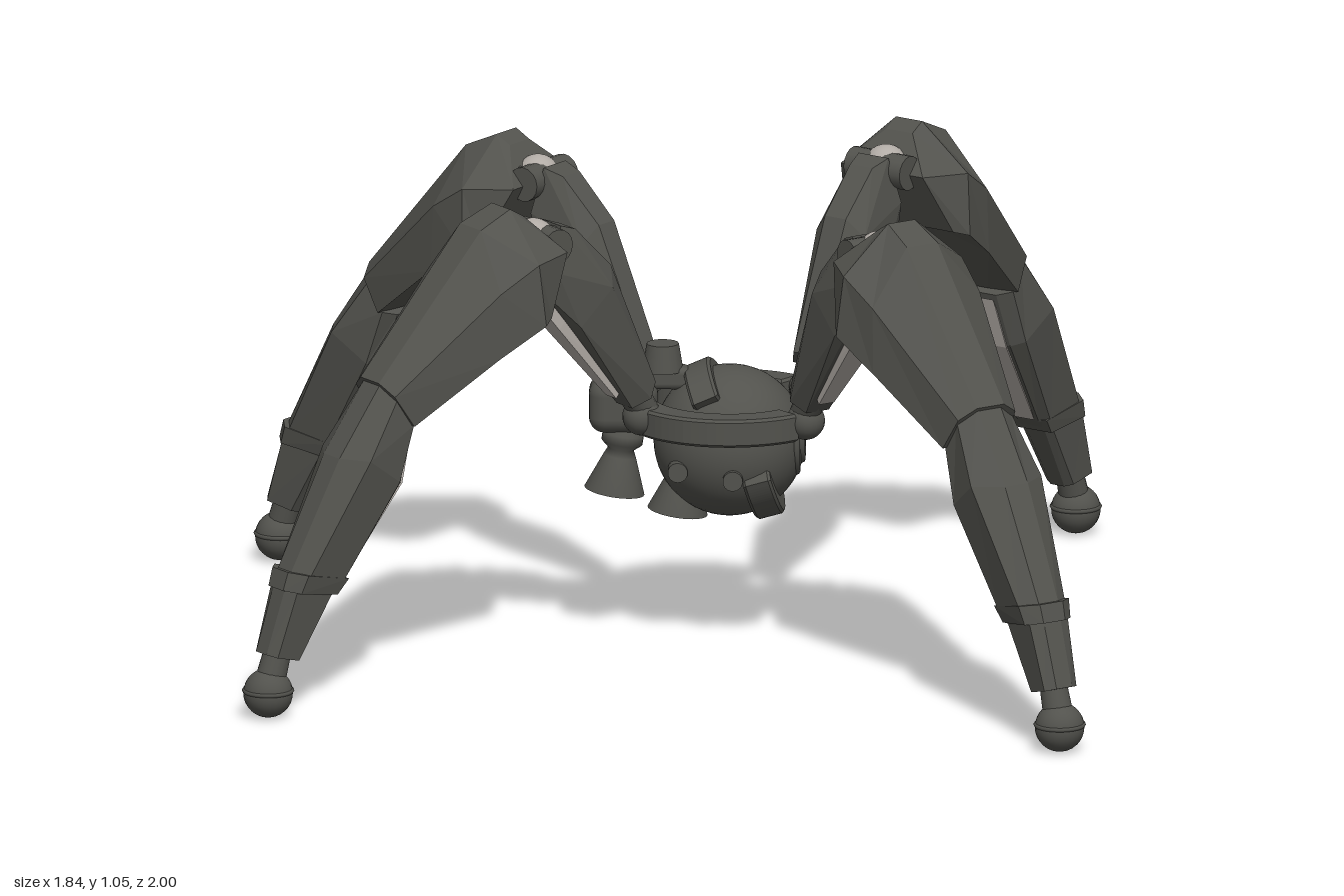
import * as THREE from 'three';
import { ConvexGeometry } from 'three/addons/geometries/ConvexGeometry.js';
import { RoundedBoxGeometry } from 'three/addons/geometries/RoundedBoxGeometry.js';

const darkMetal = new THREE.MeshStandardMaterial({ name: 'dark metal', color: 0x52524d });
const paleMetal = new THREE.MeshStandardMaterial({ name: 'pale metal', color: 0xb2aca6 });

function add(parent, name, geometry, material, x = 0, y = 0, z = 0) {
  const mesh = new THREE.Mesh(geometry, material);
  mesh.name = name;
  mesh.position.set(x, y, z);
  parent.add(mesh);
  return mesh;
}

// Faceted solid from half points [x, y, z], mirrored across z = 0
function hull(points) {
  return new ConvexGeometry(points.flatMap(([x, y, z]) =>
    [new THREE.Vector3(x, y, z), new THREE.Vector3(x, y, -z)]));
}

// Faceted shell through half sections (outer ridge to underside), mirrored across z = 0
function loft(sections) {
  const n = sections[0].length, loop = 2 * n, pos = [], index = [];
  for (const s of sections) {
    for (const p of s) pos.push(...p);
    for (const [x, y, z] of [...s].reverse()) pos.push(x, y, -z);
  }
  const quad = (a, b, c, d) => index.push(a, b, c, a, c, d);
  for (let k = 0; k < sections.length - 1; k++)
    for (let i = 0; i < loop; i++) {
      const j = (i + 1) % loop, a = k * loop, b = a + loop;
      quad(a + i, a + j, b + j, b + i);
    }
  const end = (sections.length - 1) * loop;
  for (let i = 0; i < n - 1; i++) {
    quad(loop - 1 - i, loop - 2 - i, i + 1, i);
    quad(end + i, end + i + 1, end + loop - 2 - i, end + loop - 1 - i);
  }
  const g = new THREE.BufferGeometry();
  g.setAttribute('position', new THREE.Float32BufferAttribute(pos, 3));
  g.setIndex(index);
  const flat = g.toNonIndexed();
  flat.computeVertexNormals();
  return flat;
}

// Flat curved bar between two radii
function arcBar(inner, outer, from, to, depth) {
  const s = new THREE.Shape();
  s.absarc(0, 0, outer, from, to, false);
  s.absarc(0, 0, inner, to, from, true);
  return new THREE.ExtrudeGeometry(s, {
    depth, curveSegments: 28, bevelEnabled: true,
    bevelSize: 0.006, bevelThickness: 0.006, bevelSegments: 1,
  });
}

// Cylinder between two points of the leg's plane
function rod(parent, name, a, b, r0, r1, material) {
  const d = new THREE.Vector3(b[0] - a[0], b[1] - a[1], 0);
  const m = add(parent, name, new THREE.CylinderGeometry(r1, r0, d.length(), 16), material,
    (a[0] + b[0]) / 2, (a[1] + b[1]) / 2, 0);
  m.quaternion.setFromUnitVectors(new THREE.Vector3(0, 1, 0), d.normalize());
}

// One leg reaching along +x, with the knee at x = 0
function makeLeg() {
  const leg = new THREE.Group();

  // Hip joint and upper arm
  add(leg, 'hipBall', new THREE.SphereGeometry(0.042, 20, 14), darkMetal, -0.29, 0.53, 0);
  rod(leg, 'hipNeck', [-0.31, 0.52], [-0.24, 0.63], 0.032, 0.036, darkMetal);
  add(leg, 'upperArm', hull([
    [-0.31, 0.61, 0.025], [-0.285, 0.58, 0.045], [-0.245, 0.56, 0.03],
    [-0.19, 0.89, 0.028], [-0.17, 0.85, 0.065], [-0.09, 0.77, 0.06],
    [-0.095, 0.985, 0.03], [-0.05, 1.0, 0.04], [-0.03, 0.9, 0.06], [-0.02, 0.84, 0.045],
  ]), darkMetal);
  add(leg, 'upperArmPanel', hull([
    [-0.21, 0.585, 0.02], [-0.235, 0.62, 0.02], [-0.05, 0.765, 0.035],
    [-0.1, 0.82, 0.03], [0.0, 0.825, 0.035],
  ]), paleMetal);

  // Knee joint
  add(leg, 'kneeBall', new THREE.SphereGeometry(0.05, 20, 14), paleMetal, -0.005, 0.965, 0);
  const kneeRing = add(leg, 'kneeRing', new THREE.TorusGeometry(0.048, 0.011, 8, 24), darkMetal, -0.005, 0.985, 0);
  kneeRing.rotation.x = Math.PI / 2;
  const pin = add(leg, 'kneePin', new THREE.CylinderGeometry(0.038, 0.038, 0.15, 16), darkMetal, -0.02, 0.965, 0);
  pin.rotation.x = Math.PI / 2;

  // Broad roof-shaped thigh armour
  add(leg, 'thighArmour', loft([
    [[0.045, 1.035, 0.035], [-0.02, 0.96, 0.11], [0.045, 0.83, 0.145], [0.04, 0.90, 0.01]],
    [[0.08, 1.055, 0.035], [0.085, 0.955, 0.155], [0.075, 0.82, 0.168], [0.07, 0.88, 0.01]],
    [[0.16, 1.02, 0.04], [0.175, 0.9, 0.14], [0.18, 0.755, 0.142], [0.18, 0.79, 0.01]],
    [[0.425, 0.715, 0.035], [0.41, 0.69, 0.075], [0.365, 0.62, 0.085], [0.355, 0.62, 0.01]],
  ]), darkMetal);

  // Shin with its pale inner panel
  add(leg, 'shin', loft([
    [[0.415, 0.715, 0.03], [0.395, 0.69, 0.07], [0.36, 0.62, 0.075], [0.345, 0.61, 0.04]],
    [[0.525, 0.56, 0.03], [0.485, 0.56, 0.092], [0.4, 0.5, 0.08], [0.38, 0.49, 0.052]],
    [[0.65, 0.32, 0.025], [0.625, 0.31, 0.06], [0.53, 0.29, 0.052], [0.515, 0.29, 0.03]],
    [[0.665, 0.28, 0.022], [0.65, 0.28, 0.05], [0.555, 0.26, 0.042], [0.545, 0.26, 0.025]],
    [[0.71, 0.145, 0.02], [0.695, 0.14, 0.042], [0.635, 0.125, 0.036], [0.625, 0.12, 0.018]],
  ]), darkMetal);
  add(leg, 'shinPanel', hull([
    [0.34, 0.6, 0.036], [0.372, 0.488, 0.048], [0.505, 0.295, 0.026],
  ]), paleMetal);
  add(leg, 'shinCollar', hull([
    [0.66, 0.325, 0.03], [0.63, 0.32, 0.066], [0.515, 0.295, 0.052],
    [0.672, 0.285, 0.028], [0.645, 0.28, 0.06], [0.54, 0.262, 0.046],
  ]), darkMetal);

  // Ankle and ball foot
  rod(leg, 'ankle', [0.69, 0.07], [0.665, 0.15], 0.034, 0.03, darkMetal);
  add(leg, 'foot', new THREE.SphereGeometry(0.054, 24, 16), darkMetal, 0.692, 0.054, 0);
  const band = add(leg, 'footBand', new THREE.TorusGeometry(0.052, 0.005, 6, 28), darkMetal, 0.692, 0.06, 0);
  band.rotation.x = Math.PI / 2;
  return leg;
}

export function createModel() {
  const model = new THREE.Group();

  // Round body with an eye facing +x
  const body = new THREE.Group();
  body.name = 'body';
  body.position.set(0.125, 0.45, 0);
  model.add(body);
  add(body, 'bodySphere', new THREE.SphereGeometry(0.165, 40, 28), darkMetal);
  for (const [name, r, x] of [['outerEyeRing', 0.078, 0.146], ['innerEyeRing', 0.052, 0.157]]) {
    add(body, name, new THREE.TorusGeometry(r, 0.008, 8, 32), darkMetal, x, 0.01, 0).rotation.y = Math.PI / 2;
  }

  // Hip collar, open towards the eye
  const open = 0.87;
  add(body, 'hipCollar', arcBar(0.17, 0.224, open, 2 * Math.PI - open, 0.05), darkMetal, 0, 0.095, 0)
    .rotation.x = Math.PI / 2;

  // Curved guards above and below
  for (const [name, tilt, shift, half] of [['lowerGuard', 0.27, 0.045, 1.15], ['upperGuard', 3.55, 0, 0.75]]) {
    const guard = new THREE.Group();
    guard.rotation.z = tilt;
    body.add(guard);
    add(guard, name, arcBar(0.145, 0.178, -Math.PI / 2 - half, -Math.PI / 2 + half, 0.05), darkMetal, shift - 0.025, 0, 0)
      .rotation.y = Math.PI / 2;
  }

  // Side studs
  for (const side of [-1, 1])
    for (const [x, y, z] of [[-0.11, -0.04, 0.12], [0.01, -0.05, 0.155]]) {
      add(body, 'sideStud', new THREE.CylinderGeometry(0.022, 0.022, 0.04, 14), darkMetal, x, y, side * z)
        .rotation.x = Math.PI / 2;
    }

  // Rear pod and spine
  add(model, 'rearPod', new RoundedBoxGeometry(0.15, 0.12, 0.11, 3, 0.035), darkMetal, -0.105, 0.53, 0);
  add(model, 'spine', new RoundedBoxGeometry(0.2, 0.05, 0.055, 2, 0.015), darkMetal, -0.06, 0.59, 0);
  add(model, 'spineKnob', new THREE.CylinderGeometry(0.035, 0.045, 0.06, 16), darkMetal, -0.02, 0.635, 0);

  // Thruster nozzles
  const nozzle = [[0, 0.13], [0.03, 0.13], [0.045, 0.11], [0.045, 0.09], [0.028, 0.075], [0.035, 0.06],
    [0.066, -0.02], [0.058, -0.02], [0.025, 0.04], [0, 0.04]].map(([x, y]) => new THREE.Vector2(x, y)).reverse();
  for (const [name, x, y, tilt] of [['rearNozzle', -0.122, 0.355, -0.15], ['innerNozzle', 0.015, 0.31, -0.15]]) {
    add(model, name, new THREE.LatheGeometry(nozzle, 24), darkMetal, x, y, 0).rotation.z = tilt;
  }

  // Four legs, placed by knee position and heading
  for (const [label, x, z, dx, dz] of [['left', 0.46, 0.38, 0.576, 0.817], ['right', -0.3, 0.28, -0.814, 0.58]])
    for (const side of [1, -1]) {
      const leg = makeLeg();
      leg.name = label + (side > 0 ? 'FrontLeg' : 'BackLeg');
      leg.position.set(x, 0, side * z);
      leg.rotation.y = Math.atan2(-side * dz, dx);
      model.add(leg);
    }
  return model;
}
